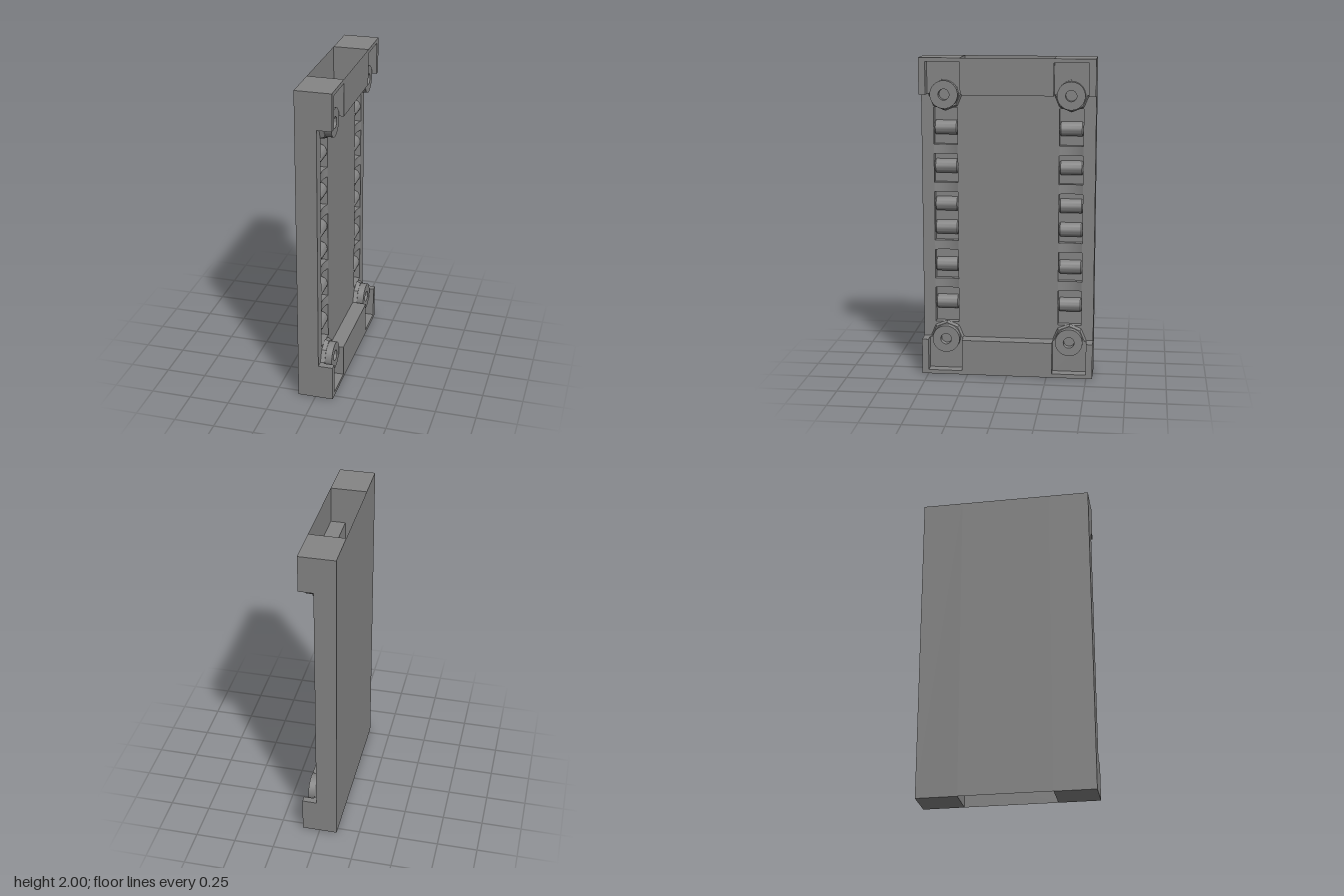
import * as THREE from 'three';
import { toCreasedNormals } from 'three/addons/utils/BufferGeometryUtils.js';

const BACK = -0.11, FACE = 0.02, FRONT = 0.11, FLOOR = -0.025; // levels in x
const INNER = 0.285, OUTER = 0.539, END = 0.225; // rail edges in z, end block height
const POCKET = 0.498, LIP = 0.025; // outer edge of the corner pockets, end wall thickness
const LANE = 0.389, LANE_HALF = 0.074; // roller lane in z

export function createModel() {
  const model = new THREE.Group();
  const material = new THREE.MeshStandardMaterial({ color: 0x858585 });
  const sheetMaterial = new THREE.MeshStandardMaterial({ color: 0x858585, side: THREE.DoubleSide });

  const add = (name, geometry, mat = material) => {
    const mesh = new THREE.Mesh(geometry, mat);
    mesh.name = name;
    model.add(mesh);
    return mesh;
  };
  // Box between two limits on each axis, in any order
  const box = (name, x0, x1, y0, y1, z0, z1) =>
    add(name, new THREE.BoxGeometry(Math.abs(x1 - x0), Math.abs(y1 - y0), Math.abs(z1 - z0)))
      .position.set((x0 + x1) / 2, (y0 + y1) / 2, (z0 + z1) / 2);
  // Upright sheet across the middle, facing +x (turn 1) or -x (turn -1)
  const sheet = (name, x, y0, y1, turn) =>
    add(name, new THREE.PlaneGeometry(2 * INNER, Math.abs(y1 - y0)).rotateY(turn * Math.PI / 2), sheetMaterial)
      .position.set(x, (y0 + y1) / 2, 0);
  const rect = (Type, u0, u1, y0, y1) => new Type([
    new THREE.Vector2(u0, y0), new THREE.Vector2(u1, y0),
    new THREE.Vector2(u1, y1), new THREE.Vector2(u0, y1)]);
  // Shape drawn in (-z, y), extruded along x
  const extrudeX = (shape, depth) => toCreasedNormals(
    new THREE.ExtrudeGeometry(shape, { depth, bevelEnabled: false, curveSegments: 16 }).rotateY(Math.PI / 2), 0.5);

  // Hollow centre: back sheet and front panel, open at top and bottom
  sheet('backSheet', BACK, 0, 2, -1);
  sheet('frontPanel', FACE, END, 2 - END, 1);

  // Roller with chamfered ends, lying along z
  const rollerGeometry = toCreasedNormals(new THREE.LatheGeometry([
    [0, -0.074], [0.036, -0.074], [0.045, -0.065], [0.045, 0.065], [0.036, 0.074], [0, 0.074],
  ].map(p => new THREE.Vector2(...p)), 28).rotateX(Math.PI / 2), 0.5);

  // Saddle between pockets, with a shallow hollow across the lane
  const saddleShape = new THREE.Shape();
  saddleShape.moveTo(-LANE_HALF, FLOOR);
  saddleShape.lineTo(LANE_HALF, FLOOR);
  saddleShape.lineTo(LANE_HALF, FACE);
  saddleShape.quadraticCurveTo(0, FACE - 0.03, -LANE_HALF, FACE);
  const saddleGeometry = toCreasedNormals(
    new THREE.ExtrudeGeometry(saddleShape, { depth: 0.06, bevelEnabled: false, curveSegments: 12 })
      .applyMatrix4(new THREE.Matrix4().makeBasis(
        new THREE.Vector3(0, 0, 1), new THREE.Vector3(1, 0, 0), new THREE.Vector3(0, 1, 0))), 0.5);

  // Boss ring and its tapered eight-sided pad
  const ring = new THREE.Shape().absarc(0, 0, 0.086, 0, Math.PI * 2);
  ring.holes.push(new THREE.Path().absarc(0, 0, 0.034, 0, Math.PI * 2, true));
  const ringGeometry = extrudeX(ring, 0.042);
  const padGeometry = toCreasedNormals(
    new THREE.CylinderGeometry(0.096, 0.106, 0.025, 8).rotateZ(-Math.PI / 2), 0.5);

  for (const side of [1, -1]) {
    const lane = side * LANE;

    // Side rail with a long roller channel
    box('railBase', BACK, FLOOR, 0, 2, side * INNER, side * OUTER);
    const rail = rect(THREE.Shape, -side * INNER, -side * OUTER, 0, 2);
    rail.holes.push(rect(THREE.Path, -lane - LANE_HALF, -lane + LANE_HALF, 0.32, 1.69));
    add('sideRail', extrudeX(rail, FACE - FLOOR)).position.x = FLOOR;

    for (const y of [0.445, 0.69, 0.93, 1.08, 1.32, 1.562])
      add('roller', rollerGeometry).position.set(FACE - 0.046, y, lane);
    for (const y of [0.543, 0.79, 1.16, 1.4])
      add('saddle', saddleGeometry).position.set(0, y, lane);
  }

  for (const top of [false, true]) {
    const Y = d => (top ? 2 - d : d); // distance from the end

    // Hollow cross bar: front sheet and ledge, open towards the end
    sheet('crossBarFront', FRONT, Y(0), Y(END), 1);
    add('crossBarLedge', new THREE.PlaneGeometry(FRONT - FACE, 2 * INNER)
      .rotateX(top ? Math.PI / 2 : -Math.PI / 2), sheetMaterial)
      .position.set((FACE + FRONT) / 2, Y(END), 0);

    // Corner pockets with bosses
    for (const side of [1, -1]) {
      box('pocketFloor', FACE, 0.045, Y(LIP), Y(END), side * INNER, side * POCKET);
      box('pocketSideWall', FACE, FRONT, Y(0), Y(END), side * POCKET, side * OUTER);
      box('pocketEndWall', FACE, FRONT, Y(0), Y(LIP), side * INNER, side * POCKET);
      add('pocketInnerWall', new THREE.PlaneGeometry(FRONT - 0.045, END - LIP), sheetMaterial)
        .position.set((FRONT + 0.045) / 2, Y((END + LIP) / 2), side * INNER);
      add('bossPad', padGeometry).position.set(0.0327, Y(END), side * LANE);
      add('bossRing', ringGeometry).position.set(0.045, Y(END), side * LANE);
    }
  }

  return model;
}
